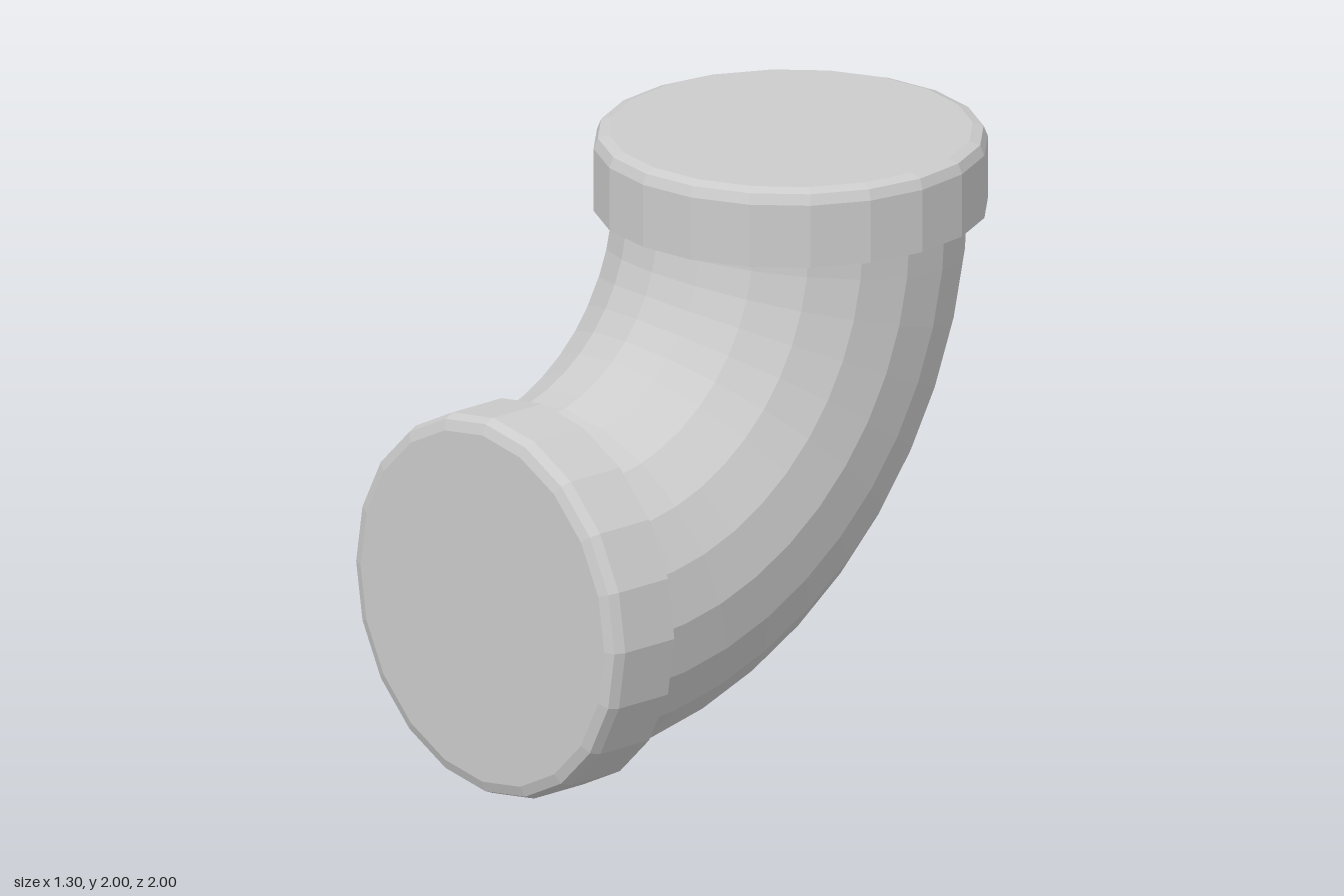
import * as THREE from 'three';

const SIDES = 20;
const AXIS_Y = 0.648;   // height of the horizontal opening's axis
const AXIS_Z = -0.352;  // depth of the vertical opening's axis
const BEND = 1.152;     // radius of the bend's centreline

export function createModel() {
  const model = new THREE.Group();
  model.name = 'pipeElbow';
  const material = new THREE.MeshStandardMaterial({ color: 0xcccccc, flatShading: true });

  // Quarter-turn pipe, its ends buried in the two collars
  const bend = new THREE.TorusGeometry(BEND, 0.585, SIDES, 11, Math.PI / 2);
  bend.rotateZ(-Math.PI / 2).rotateY(Math.PI / 2);
  bend.translate(0, AXIS_Y + BEND, AXIS_Z + BEND);
  const pipe = new THREE.Mesh(bend, material);
  pipe.name = 'pipeBend';
  model.add(pipe);

  // Closed collar with a softly bevelled outer rim
  const profile = [
    [0, 0], [0.648, 0], [0.648, 0.215], [0.634, 0.25], [0.598, 0.263], [0, 0.263],
  ].map(([r, h]) => new THREE.Vector2(r, h));
  const collarGeometry = new THREE.LatheGeometry(profile, SIDES);

  const topCollar = new THREE.Mesh(collarGeometry, material);
  topCollar.name = 'topCollar';
  topCollar.position.set(0, 1.737, AXIS_Z);

  const frontCollar = new THREE.Mesh(collarGeometry, material);
  frontCollar.name = 'frontCollar';
  frontCollar.position.set(0, AXIS_Y, 0.737);
  frontCollar.rotation.x = Math.PI / 2;

  model.add(topCollar, frontCollar);
  return model;
}
